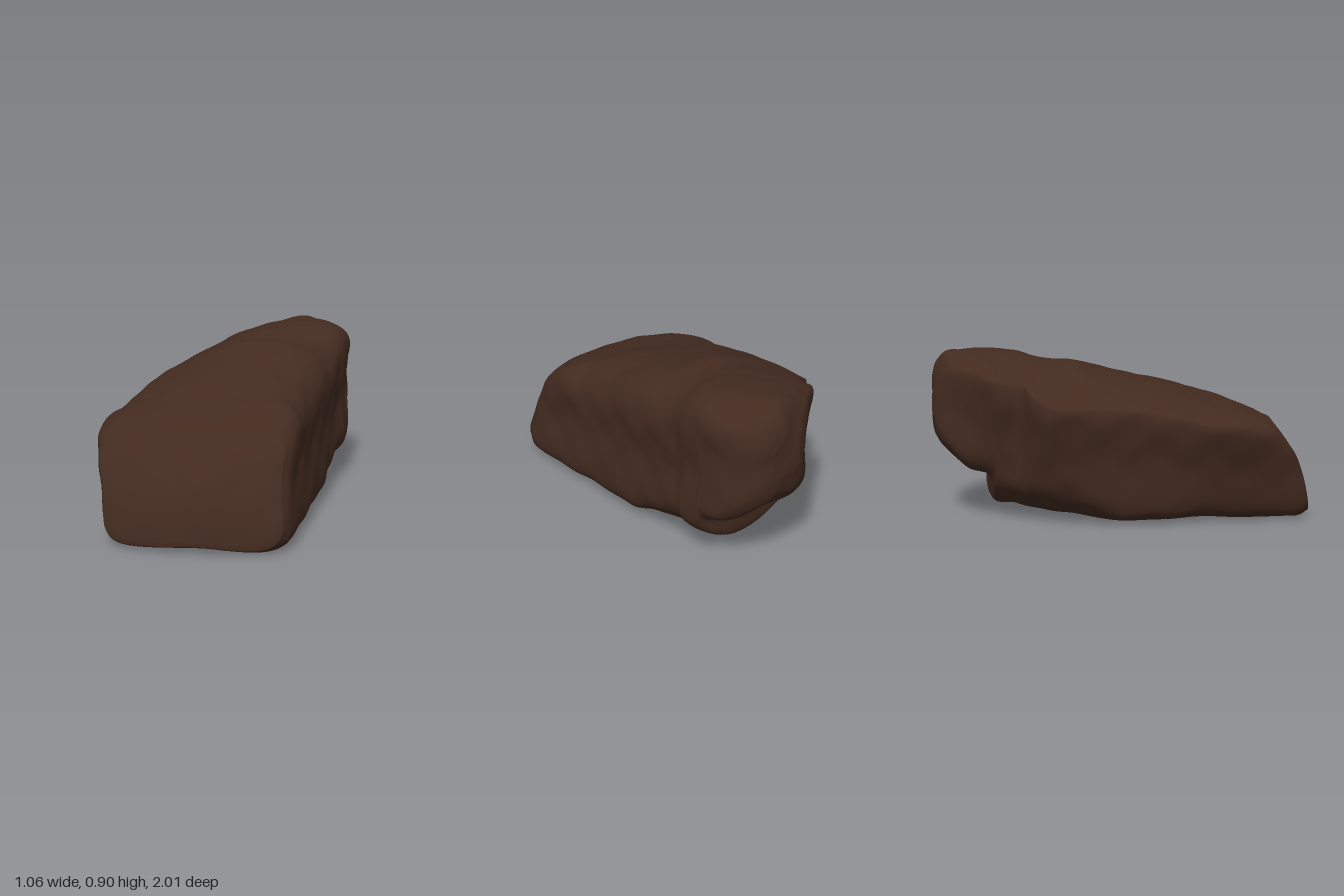
import * as THREE from 'three';

const { smoothstep, clamp } = THREE.MathUtils;

// Cross-sections from front to back:
// z, left x at base, left x at shoulder, right x, base y, top y at left / middle / right
const SECTIONS = [
  [1.0, -0.36, -0.45, 0.49, 0.03, 0.51, 0.55, 0.56],
  [0.95, -0.375, -0.49, 0.515, 0.01, 0.53, 0.58, 0.60],
  [0.85, -0.38, -0.52, 0.52, 0.01, 0.55, 0.61, 0.63],
  [0.60, -0.38, -0.53, 0.51, 0.01, 0.56, 0.65, 0.65],
  [0.40, -0.38, -0.52, 0.51, 0.02, 0.57, 0.68, 0.67],
  [0.15, -0.39, -0.49, 0.50, 0.02, 0.62, 0.73, 0.71],
  [-0.10, -0.38, -0.48, 0.50, 0.02, 0.65, 0.79, 0.77],
  [-0.24, -0.35, -0.475, 0.49, 0.03, 0.655, 0.83, 0.79],
  [-0.34, -0.32, -0.465, 0.49, 0.03, 0.66, 0.825, 0.80],
  [-0.44, -0.27, -0.45, 0.49, 0.03, 0.67, 0.84, 0.82],
  [-0.52, -0.22, -0.37, 0.49, 0.04, 0.72, 0.86, 0.85],
  [-0.57, -0.17, -0.27, 0.50, 0.045, 0.77, 0.87, 0.86],
  [-0.68, -0.10, -0.25, 0.50, 0.06, 0.78, 0.88, 0.87],
  [-0.71, -0.11, -0.24, 0.50, 0.23, 0.79, 0.88, 0.87],
  [-0.82, -0.05, -0.11, 0.48, 0.27, 0.82, 0.89, 0.86],
  [-0.92, 0.02, 0.01, 0.42, 0.35, 0.83, 0.89, 0.82],
  [-0.98, 0.09, 0.09, 0.35, 0.42, 0.78, 0.83, 0.76],
  [-1.0, 0.14, 0.13, 0.29, 0.52, 0.72, 0.76, 0.71],
];
const AROUND = 96;
const ALONG = 120;
const CAP_SCALES = [0.9, 0.74, 0.56, 0.36, 0.18, 0.001];

// Chamfered outline of one section, clockwise from the lower left
function outline([z, lb, lt, r, b, tl, tm, tr]) {
  const c = Math.min(0.05, (r - lb) * 0.25);
  // The underside is cut away toward the back, above which the rear lobe hangs over
  const cut = smoothstep(-z, 0, 0.5) * clamp((0.26 - b) / 0.2, 0, 1);
  const leftCut = c + 0.09 * cut;
  // The right wall leans in and its top edge is bevelled
  const rt = r - 0.03 * smoothstep(z, -0.6, 0.5);
  const bevel = 1.4 + 0.8 * smoothstep(z, -0.75, -0.4) * (1 - smoothstep(z, 0.4, 0.8));
  return [
    [lb + leftCut, b + 0.03 * cut], [lb - 0.01, b + leftCut], [(lb + lt) / 2, (b + tl) / 2],
    [lt, tl - 0.8 * c], [lt + c, tl],
    [(lt + rt) / 2, tm], [rt - bevel * c, tr], [rt, tr - bevel * c],
    [(r + rt) / 2 - 0.005, (b + tr) / 2], [r, b + c + 0.1 * cut],
    [r - c - 0.16 * cut, b + 0.01 * cut], [(lb + r) / 2 - 0.05 * cut, b + 0.005],
  ].map(([x, y]) => new THREE.Vector3(x, y, z));
}

function scaledRing(ring, s) {
  const centre = ring.reduce((sum, p) => sum.add(p), new THREE.Vector3()).divideScalar(ring.length);
  return ring.map((p) => centre.clone().lerp(p, s));
}

// Lean the front face back, then add soft dents
function weather(p) {
  const lean = smoothstep(p.z, 0.2, 1);
  p.z -= lean * (0.75 * p.y * p.y + 0.36 * (p.x + 0.1) ** 2);
  const { x, y, z } = p;
  const dent = (a, b, c, f) => Math.sin(f * x + a) * Math.sin(f * y * 1.1 + b) * Math.sin(f * z * 0.9 + c);
  p.x += 0.006 * dent(1, 2, 0.5, 9) + 0.005 * dent(0, 1, 2, 23);
  p.y += 0.005 * dent(2, 0.4, 1, 10) + 0.004 * dent(1, 3, 0, 25);
  p.z += 0.006 * dent(0.3, 1, 2.5, 11) + 0.004 * dent(2, 0, 1, 21);
  return p;
}

function rockGeometry() {
  const outlines = SECTIONS.map(outline);
  const rails = outlines[0].map((_, k) => new THREE.CatmullRomCurve3(outlines.map((o) => o[k])));

  // Body rings, sampled along the rails
  const rings = [];
  for (let i = 0; i <= ALONG; i++) {
    const loop = new THREE.CatmullRomCurve3(rails.map((rail) => rail.getPoint(i / ALONG)), true);
    rings.push(Array.from({ length: AROUND }, (_, j) => loop.getPoint(j / AROUND)));
  }
  // Shrinking rings close the two ends
  const first = rings[0];
  const last = rings[rings.length - 1];
  for (const s of CAP_SCALES) {
    rings.unshift(scaledRing(first, s));
    rings.push(scaledRing(last, s));
  }

  const index = [];
  for (let i = 0; i < rings.length - 1; i++) {
    for (let j = 0; j < AROUND; j++) {
      const k = (j + 1) % AROUND;
      const a = i * AROUND + j, b = i * AROUND + k;
      index.push(a, b, a + AROUND, b, b + AROUND, a + AROUND);
    }
  }
  const geometry = new THREE.BufferGeometry().setFromPoints(rings.flat().map(weather));
  geometry.setIndex(index);
  geometry.computeVertexNormals();

  // Stand on the ground, centred
  geometry.computeBoundingBox();
  const { min, max } = geometry.boundingBox;
  geometry.translate(-(min.x + max.x) / 2, -min.y, -(min.z + max.z) / 2);
  return geometry;
}

export function createModel() {
  const brownStone = new THREE.MeshStandardMaterial({ color: 0x432b20 });
  brownStone.name = 'brownStone';
  const rock = new THREE.Mesh(rockGeometry(), brownStone);
  rock.name = 'rock';
  const group = new THREE.Group();
  group.name = 'boulder';
  group.add(rock);
  return group;
}
